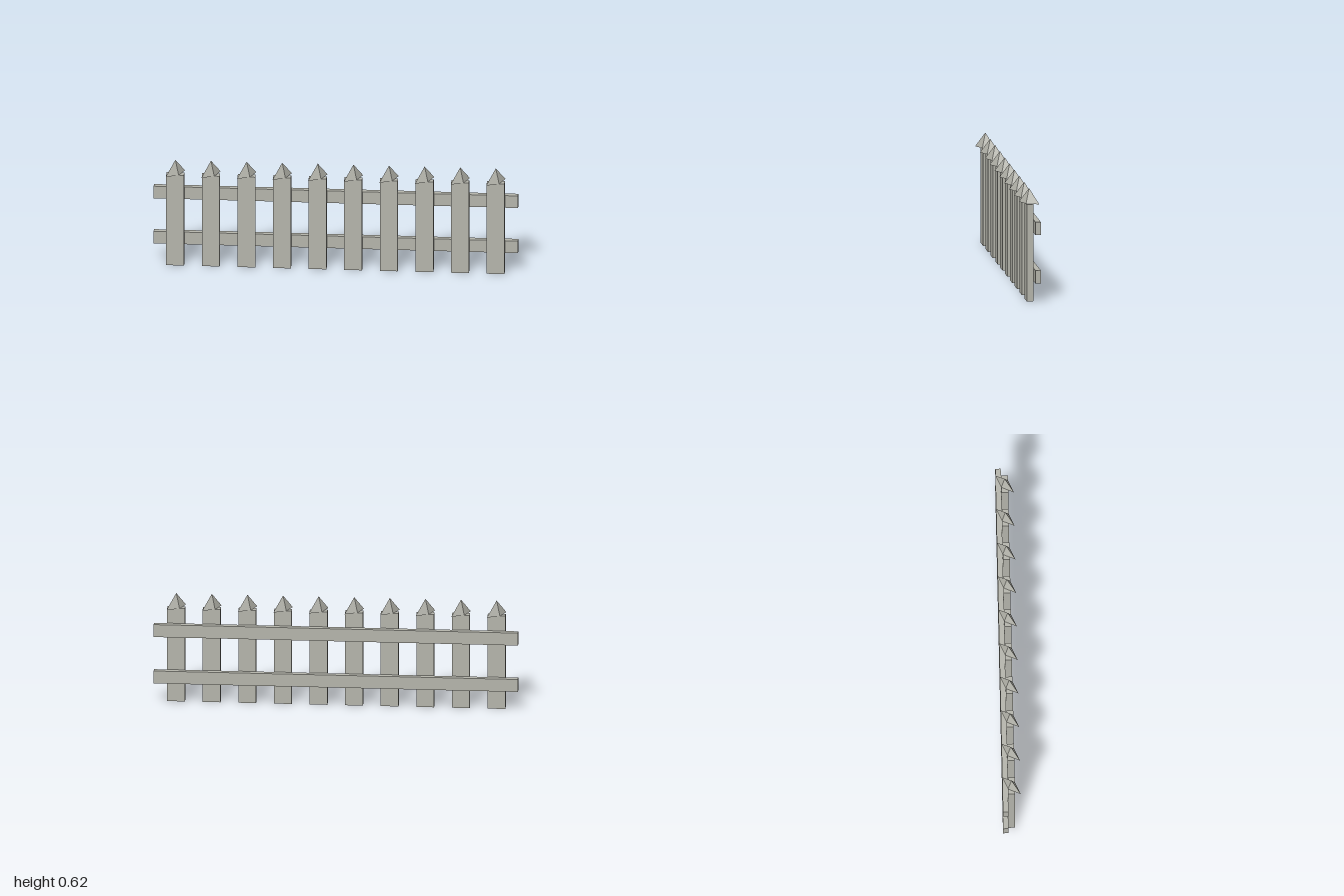
import * as THREE from 'three';

export function createModel() {
  const fence = new THREE.Group();
  fence.name = 'picketFence';

  const paint = new THREE.MeshStandardMaterial({ color: 0xb5b5ac, flatShading: true });
  paint.name = 'weatheredGrey';

  const add = (parent, name, geometry, x, y, z) => {
    const mesh = new THREE.Mesh(geometry, paint);
    mesh.name = name;
    mesh.position.set(x, y, z);
    parent.add(mesh);
  };

  const boardHeight = 0.538;
  const tipHeight = 0.083;
  const boardGeometry = new THREE.BoxGeometry(0.098, boardHeight, 0.038);

  // Four-sided point, stretched into a thin diamond set diagonally on the board
  const tipGeometry = new THREE.ConeGeometry(1, tipHeight, 4)
    .scale(0.0705, 1, 0.027)
    .rotateY(Math.PI / 4);

  // Ten evenly spaced pickets
  const count = 10;
  for (let i = 0; i < count; i++) {
    const picket = new THREE.Group();
    picket.name = `picket${i + 1}`;
    picket.position.x = (i - (count - 1) / 2) * 0.1954;
    add(picket, 'board', boardGeometry, 0, boardHeight / 2, 0);
    add(picket, 'tip', tipGeometry, 0, boardHeight + tipHeight / 2, 0);
    fence.add(picket);
  }

  // Two rails along the back
  const railGeometry = new THREE.BoxGeometry(2, 0.072, 0.03);
  add(fence, 'lowerRail', railGeometry, 0, 0.147, -0.034);
  add(fence, 'upperRail', railGeometry, 0, 0.416, -0.034);

  return fence;
}
